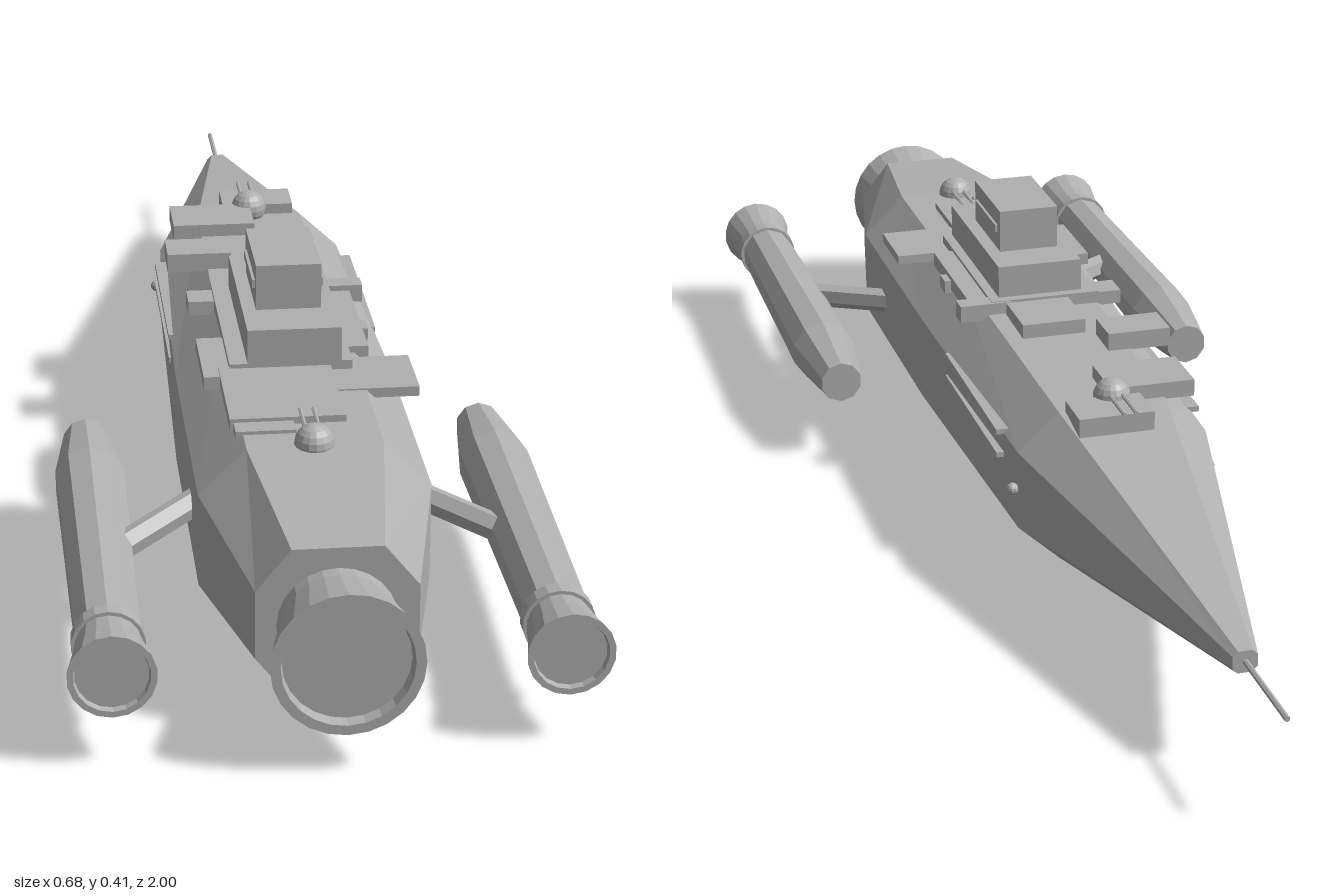
import * as THREE from 'three';

const hullGrey = new THREE.MeshStandardMaterial({ color: 0xb0b0b0, flatShading: true, side: THREE.DoubleSide });
hullGrey.name = 'hull grey';

export function createModel() {
  const model = new THREE.Group();
  model.name = 'spaceship';

  const add = (name, geometry, parent = model) => {
    const mesh = new THREE.Mesh(geometry, hullGrey);
    mesh.name = name;
    parent.add(mesh);
    return mesh;
  };
  // Box given by its limits on each axis
  const box = (name, x0, x1, y0, y1, z0, z1, parent) => {
    const mesh = add(name, new THREE.BoxGeometry(x1 - x0, y1 - y0, z1 - z0), parent);
    mesh.position.set((x0 + x1) / 2, (y0 + y1) / 2, (z0 + z1) / 2);
    return mesh;
  };
  // Straight round bar between two points
  const bar = (name, a, b, radius, sides, parent) => {
    const from = new THREE.Vector3(...a), to = new THREE.Vector3(...b);
    const dir = to.clone().sub(from);
    const mesh = add(name, new THREE.CylinderGeometry(radius, radius, dir.length(), sides), parent);
    mesh.position.copy(from).add(to).multiplyScalar(0.5);
    mesh.quaternion.setFromUnitVectors(new THREE.Vector3(0, 1, 0), dir.normalize());
    return mesh;
  };
  // Turned shape along z from [radius, z] pairs
  const turned = (name, profile, sides, x, y, parent) => {
    const points = profile.map(([r, z]) => new THREE.Vector2(r, z));
    const mesh = add(name, new THREE.LatheGeometry(points, sides).rotateX(Math.PI / 2), parent);
    mesh.position.set(x, y, 0);
    return mesh;
  };

  // Main hull: octagonal sections [z, halfWidth, topHalfWidth, bottom, lowerCorner, upperCorner, top]
  const sections = [
    [0.89, 0.103, 0.058, 0.050, 0.107, 0.200, 0.256],
    [0.645, 0.154, 0.090, 0.024, 0.088, 0.219, 0.281],
    [0.25, 0.154, 0.090, 0.022, 0.088, 0.219, 0.283],
    [-0.27, 0.140, 0.080, 0.040, 0.095, 0.212, 0.268],
    [-0.845, 0.017, 0.010, 0.139, 0.147, 0.163, 0.170],
  ];
  const positions = [], index = [];
  for (const [z, w, t, y0, y1, y2, y3] of sections) {
    const ring = [[t, y0], [w, y1], [w, y2], [t, y3], [-t, y3], [-w, y2], [-w, y1], [-t, y0]];
    for (const [x, y] of ring) positions.push(x, y, z);
  }
  const last = (sections.length - 1) * 8;
  for (let s = 0; s < last; s += 8) {
    for (let i = 0; i < 8; i++) {
      const a = s + i, b = s + (i + 1) % 8;
      index.push(a, a + 8, b, b, a + 8, b + 8);
    }
  }
  for (let i = 1; i < 7; i++) index.push(0, i, i + 1, last, last + i + 1, last + i);
  const hull = new THREE.BufferGeometry();
  hull.setAttribute('position', new THREE.Float32BufferAttribute(positions, 3));
  hull.setIndex(index);
  const flatHull = hull.toNonIndexed();
  flatHull.computeVertexNormals();
  add('hull', flatHull);

  // Nose probe and main engine
  bar('noseProbe', [0, 0.155, -0.83], [0, 0.155, -1], 0.004, 6);
  turned('mainNozzle', [[0.076, 0.87], [0.077, 0.91], [0.085, 0.95], [0.096, 1], [0.083, 1], [0.080, 0.985], [0, 0.985]], 24, 0, 0.152);

  // Both sides: engine pod, strut, side rails and sensor
  for (const s of [1, -1]) {
    const side = new THREE.Group();
    side.name = s > 0 ? 'leftSide' : 'rightSide';
    model.add(side);
    const px = s * 0.284, py = 0.126;
    turned('enginePod', [[0, 0.25], [0.032, 0.25], [0.050, 0.385], [0.043, 0.86], [0, 0.86]], 10, px, py, side);
    turned('podCollar', [[0.040, 0.85], [0.047, 0.85], [0.047, 0.872], [0.040, 0.872]], 18, px, py, side);
    turned('podNozzle', [[0.042, 0.87], [0.046, 0.90], [0.056, 0.953], [0.048, 0.953], [0.046, 0.945], [0, 0.945]], 18, px, py, side);
    bar('strut', [s * 0.13, 0.151, 0.50], [s * 0.26, 0.133, 0.62], 0.019, 6, side);
    for (const y of [0.18, 0.216]) {
      box('sideRail', s > 0 ? 0.135 : -0.153, s > 0 ? 0.153 : -0.135, y - 0.004, y + 0.004, -0.2, 0.1, side);
    }
    const sensor = add('sideSensor', new THREE.SphereGeometry(0.009, 10, 8), side);
    sensor.position.set(s * 0.147, 0.155, -0.265);
  }

  // Command tower
  box('towerBase', -0.09, 0.08, 0.27, 0.297, 0.095, 0.40);
  box('towerLower', -0.065, 0.065, 0.28, 0.346, 0.11, 0.40);
  box('towerUpper', -0.046, 0.045, 0.34, 0.411, 0.175, 0.325);
  box('towerSideBand', -0.050, 0.049, 0.373, 0.385, 0.19, 0.31);

  // Deck plating: x, y and z limits
  const plates = [
    [-0.04, 0.07, 0.25, 0.284, -0.34, -0.27],
    [-0.125, 0.00, 0.265, 0.29, -0.26, -0.17],
    [-0.145, -0.05, 0.272, 0.30, -0.085, -0.02],
    [-0.037, 0.06, 0.27, 0.297, -0.01, 0.085],
    [0.05, 0.13, 0.27, 0.296, 0.09, 0.12],
    [0.06, 0.11, 0.27, 0.292, 0.13, 0.34],
    [0.10, 0.12, 0.265, 0.285, 0.23, 0.26],
    [-0.127, -0.065, 0.27, 0.288, 0.28, 0.42],
    [-0.127, -0.06, 0.27, 0.291, 0.105, 0.15],
    [-0.105, 0.05, 0.275, 0.291, 0.39, 0.57],
    [0.05, 0.163, 0.27, 0.284, 0.36, 0.47],
    [-0.10, -0.02, 0.272, 0.286, 0.56, 0.60],
  ];
  for (const p of plates) box('deckPlate', ...p);

  // Dome turrets on the deck
  for (const [z, y] of [[0.635, 0.282], [-0.265, 0.282]]) {
    const turret = new THREE.Group();
    turret.name = 'deckTurret';
    model.add(turret);
    turret.position.set(0, y, z);
    add('dome', new THREE.SphereGeometry(0.027, 16, 10), turret);
    for (const x of [-0.009, 0.009]) bar('barrel', [x, 0.009, 0], [x, 0.009, -0.09], 0.003, 6, turret);
  }

  // Turrets below the hull
  for (const z of [0.512, -0.003]) {
    const turret = new THREE.Group();
    turret.name = 'bellyTurret';
    model.add(turret);
    turret.position.set(0, 0, z);
    const mount = add('mount', new THREE.CylinderGeometry(0.031, 0.031, 0.022, 8), turret);
    mount.position.y = 0.028;
    box('gunHouse', -0.023, 0.023, 0, 0.03, -0.023, 0.023, turret);
    for (const x of [-0.009, 0.009]) bar('barrel', [x, 0.013, 0], [x, 0.013, -0.087], 0.003, 6, turret);
  }
  return model;
}
